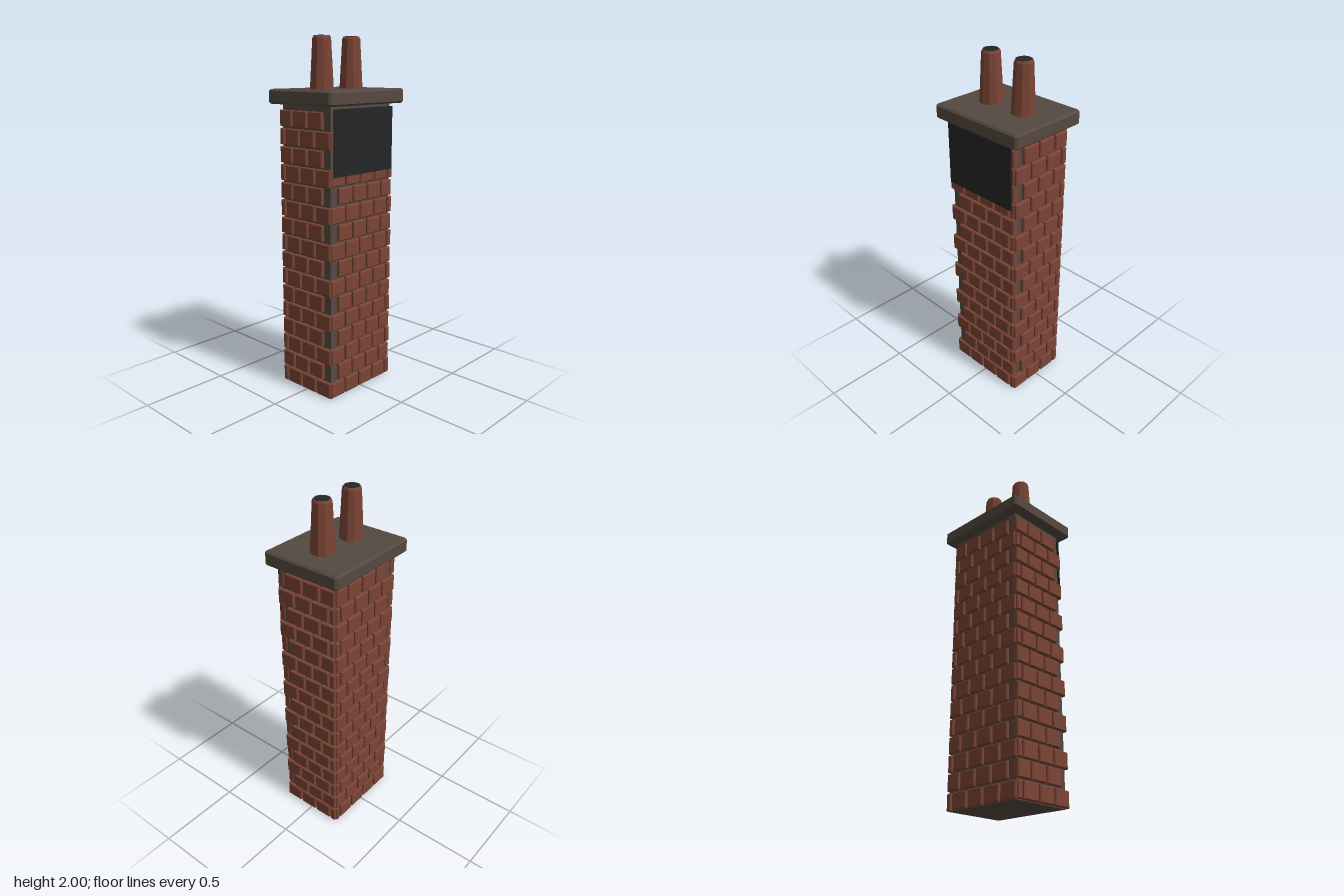
import * as THREE from 'three';
import { mergeGeometries } from 'three/addons/utils/BufferGeometryUtils.js';

// Rectangular slab, chamfered on both faces, centred, thickness along z
function chamferedSlab(w, h, d, bevel, corner = 0) {
  const x = w / 2 - bevel, y = h / 2 - bevel, c = corner;
  const pts = c
    ? [[-x + c, -y], [x - c, -y], [x, -y + c], [x, y - c], [x - c, y], [-x + c, y], [-x, y - c], [-x, -y + c]]
    : [[-x, -y], [x, -y], [x, y], [-x, y]];
  const shape = new THREE.Shape(pts.map(([a, b]) => new THREE.Vector2(a, b)));
  const g = new THREE.ExtrudeGeometry(shape, {
    depth: d - 2 * bevel, bevelEnabled: true, bevelThickness: bevel, bevelSize: bevel, bevelSegments: 1,
  });
  return g.translate(0, 0, -(d - 2 * bevel) / 2);
}

const ROWS = 16, PITCH_Y = 0.1008, BRICK_H = 0.089, BRICK_L = 0.106, PITCH_L = 0.1165;

// Running-bond bricks on one wall: u runs along the wall, bricks sit at the given depth
function brickWall(halfLength, depth) {
  const parts = [];
  for (let row = 0; row < ROWS; row++) {
    const start = -halfLength + (row % 2 ? 0.058 : 0);
    for (let u = start; u < halfLength - 0.02; u += PITCH_L) {
      const end = Math.min(u + BRICK_L, halfLength - 0.003);
      const brick = chamferedSlab(end - u, BRICK_H, 0.04, 0.005);
      parts.push(brick.translate((u + end) / 2, 0.004 + row * PITCH_Y + BRICK_H / 2, depth - 0.02));
    }
  }
  return mergeGeometries(parts);
}

export function createModel() {
  const model = new THREE.Group();
  const material = (name, color) => {
    const m = new THREE.MeshStandardMaterial({ color });
    m.name = name;
    return m;
  };
  const brick = material('brick red', 0x7a4435);
  const stone = material('grey brown stone', 0x554941);
  const soot = material('soot black', 0x252627);

  const add = (name, geometry, mat, x = 0, y = 0, z = 0) => {
    const mesh = new THREE.Mesh(geometry, mat);
    mesh.name = name;
    mesh.position.set(x, y, z);
    model.add(mesh);
    return mesh;
  };

  // Mortar core
  add('mortarCore', new THREE.BoxGeometry(0.48, 1.65, 0.364), stone, 0, 0.825, 0);

  // Brick walls; the back repeats the front's bond pattern in mirror
  const longWall = brickWall(0.248, 0.2);
  add('frontBricks', longWall, brick);
  const shortWall = brickWall(0.192, 0.26).rotateY(Math.PI / 2);
  add('leftBricks', shortWall, brick);
  const mirrored = (geometry, axis) => {
    const g = geometry.clone();
    g.scale(axis === 'x' ? -1 : 1, 1, axis === 'z' ? -1 : 1);
    // Swap two corners of every triangle so the faces point outwards again
    for (const attr of Object.values(g.attributes)) {
      const n = attr.itemSize, a = attr.array;
      for (let i = 0; i < a.length; i += 3 * n) {
        for (let k = 0; k < n; k++) {
          const t = a[i + n + k];
          a[i + n + k] = a[i + 2 * n + k];
          a[i + 2 * n + k] = t;
        }
      }
    }
    g.computeVertexNormals();
    return g;
  };
  add('backBricks', mirrored(longWall, 'z'), brick);
  add('rightBricks', mirrored(shortWall, 'x'), brick);

  // Dark panel below the cap
  add('frontPanel', new THREE.BoxGeometry(0.47, 0.355, 0.009), soot, -0.002, 1.443, 0.2045);

  // Cap slab
  const cap = chamferedSlab(0.6, 0.48, 0.08, 0.01, 0.006).rotateX(-Math.PI / 2);
  add('capSlab', cap, stone, 0, 1.677, 0);

  // Two tapered ten-sided pots with soot in the mouths
  const profile = [[0.066, 1.71], [0.051, 1.985], [0.045, 1.998], [0, 1.998]];
  for (const [side, x] of [['left', 0.116], ['right', -0.118]]) {
    const pot = new THREE.LatheGeometry(profile.map(([r, y]) => new THREE.Vector2(r, y)), 10).toNonIndexed();
    pot.computeVertexNormals();
    add(side + 'Pot', pot, brick, x);
    add(side + 'PotSoot', new THREE.CylinderGeometry(0.042, 0.042, 0.006, 10), soot, x, 1.997);
  }
  return model;
}
